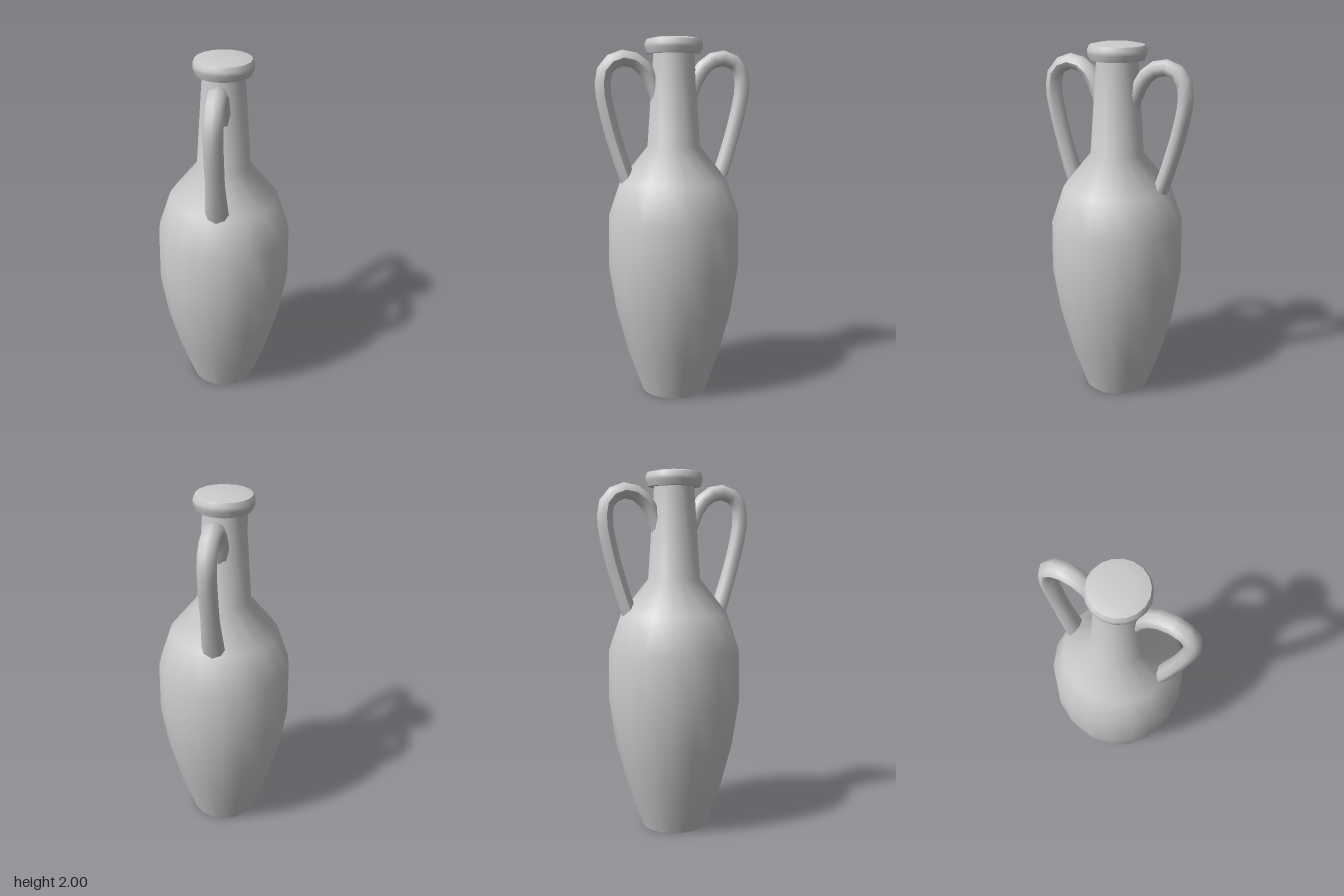
import * as THREE from 'three';

const SIDES = 18;
const material = new THREE.MeshStandardMaterial({ color: 0xcccccc });

// Turned part from [radius, height] pairs, listed bottom to top
function turned(name, profile) {
  const geometry = new THREE.LatheGeometry(profile.map(([r, y]) => new THREE.Vector2(r, y)), SIDES, Math.PI / 2);
  const mesh = new THREE.Mesh(geometry, material);
  mesh.name = name;
  return mesh;
}

// Looped handle: tube slightly wider than deep, flaring at the shoulder
function handleGeometry() {
  const path = [
    [1.15, 0.23], [1.24, 0.265], [1.4, 0.317], [1.58, 0.365], [1.73, 0.39], [1.82, 0.378],
    [1.868, 0.335], [1.887, 0.275], [1.865, 0.2], [1.8, 0.14], [1.67, 0.085],
  ].map(([y, z]) => new THREE.Vector3(0, y, z));
  const geometry = new THREE.TubeGeometry(new THREE.CatmullRomCurve3(path), 18, 0.043, 8);
  const p = geometry.attributes.position;
  for (let i = 0; i < p.count; i++) {
    const flare = 0.35 * THREE.MathUtils.clamp((1.45 - p.getY(i)) / 0.25, 0, 1);
    p.setX(i, p.getX(i) * (1.16 + flare));
  }
  geometry.computeVertexNormals();
  return geometry;
}

export function createModel() {
  const group = new THREE.Group();
  group.name = 'amphora';

  // Body, shoulder and tapering neck
  group.add(turned('body', [
    [0.187, 0], [0.27, 0.24], [0.332, 0.48], [0.37, 0.73],
    [0.366, 1.02], [0.298, 1.22], [0.146, 1.41], [0.11, 1.93],
  ]));
  group.add(turned('base', [[0, 0], [0.187, 0]]));

  // Lip with a closed, barely domed top
  group.add(turned('lipUnderside', [[0.1, 1.912], [0.145, 1.912]]));
  group.add(turned('lip', [[0.145, 1.912], [0.158, 1.945], [0.158, 1.965], [0.147, 1.988]]));
  group.add(turned('lipTop', [[0.147, 1.988], [0.085, 2], [0, 2]]));

  // Front and back handles
  const geometry = handleGeometry();
  ['frontHandle', 'backHandle'].forEach((name, i) => {
    const handle = new THREE.Mesh(geometry, material);
    handle.name = name;
    handle.rotation.y = i * Math.PI;
    group.add(handle);
  });
  return group;
}
